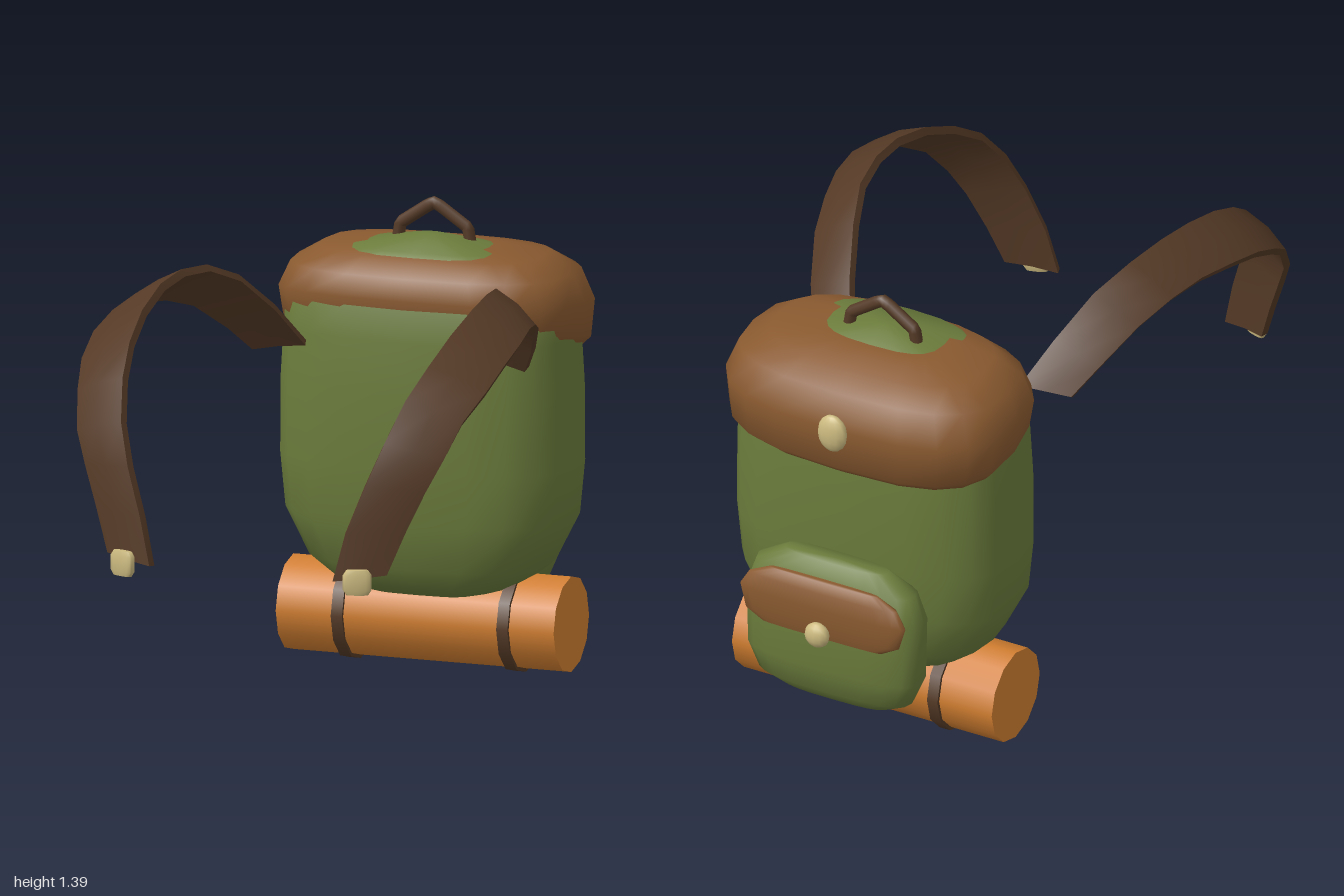
import * as THREE from 'three';
import { toCreasedNormals } from 'three/addons/utils/BufferGeometryUtils.js';

const paint = (color) => new THREE.MeshStandardMaterial({ color });
const green = paint(0x6b7c3c), lidBrown = paint(0x8a5a30), leather = paint(0x553a26);
const orange = paint(0xd17e30), brass = paint(0xcdbb80);

// Skin a list of rings (each turning positively about the direction of travel), closing both ends
function skin(rings, crease = 1) {
  const mid = (r) => {
    const c = r.reduce((s, p) => s.add(p), new THREE.Vector3()).divideScalar(r.length);
    return r.map(() => c);
  };
  const all = [mid(rings[0]), ...rings, mid(rings[rings.length - 1])];
  const n = rings[0].length, index = [];
  for (let j = 0; j < all.length - 1; j++) {
    for (let i = 0; i < n; i++) {
      const a = j * n + i, b = j * n + (i + 1) % n;
      if (j > 0) index.push(a, b, b + n);
      if (j < all.length - 2) index.push(a, b + n, a + n);
    }
    if (j === all.length - 2) continue;
  }
  // the first band fans from its centre, the last one towards its centre
  const fixed = [];
  for (let i = 0; i < n; i++) {
    const k = (i + 1) % n, last = (all.length - 2) * n;
    fixed.push(i, k + n, i + n, last + i, last + k, last + n + i);
  }
  const body = index.filter((_, q) => {
    const t = q - (q % 3);
    const lo = Math.min(index[t], index[t + 1], index[t + 2]);
    const hi = Math.max(index[t], index[t + 1], index[t + 2]);
    return lo >= n && hi < (all.length - 1) * n;
  });
  const geo = new THREE.BufferGeometry().setFromPoints(all.flat());
  geo.setIndex([...body, ...fixed]);
  return toCreasedNormals(geo, crease);
}

// Padded shape from rounded-rectangle levels: [y, halfWidth, halfDepth, centreZ, tilt]
function padded(levels, sides = 20, power = 2.9) {
  const round = (v) => Math.sign(v) * Math.pow(Math.abs(v), 2 / power);
  return skin(levels.map(([y, hx, hz, zc, tilt = 0]) =>
    Array.from({ length: sides }, (_, i) => {
      const a = (i / sides) * Math.PI * 2;
      const dz = hz * round(Math.cos(a));
      return new THREE.Vector3(hx * round(Math.sin(a)), y + tilt * dz, zc + dz);
    })), 1.1);
}

// Shoulder strap edges, from the shoulder end to the lower end
const innerEdge = [[.28, 1.0, -.275], [.34, 1.12, -.18], [.40, 1.23, -.05], [.45, 1.283, .08], [.475, 1.295, .22],
  [.485, 1.28, .36], [.48, 1.235, .52], [.465, 1.17, .66], [.44, 1.09, .78], [.41, .98, .87],
  [.37, .86, .92], [.32, .72, .95], [.285, .58, .965]];
const outerEdge = [[.43, .985, -.235], [.48, 1.06, -.16], [.54, 1.15, -.03], [.58, 1.19, .1], [.61, 1.205, .22],
  [.635, 1.19, .36], [.64, 1.155, .5], [.63, 1.10, .62], [.60, 1.03, .73], [.57, .93, .81],
  [.53, .84, .85], [.48, .72, .885], [.435, .60, .915]];

function strapGeometry(side) {
  const A = innerEdge.map((p) => new THREE.Vector3(...p));
  const B = outerEdge.map((p) => new THREE.Vector3(...p));
  const M = A.map((a, i) => a.clone().lerp(B[i], 0.5));
  const rings = M.map((m, i) => {
    const along = M[Math.min(i + 1, M.length - 1)].clone().sub(M[Math.max(i - 1, 0)]);
    const out = along.cross(B[i].clone().sub(A[i])).normalize();
    const at = (p, d) => p.clone().addScaledVector(out, d);
    const ring = [at(A[i], -.024), at(m, -.018), at(B[i], -.024), at(B[i], 0), at(m, .01), at(A[i], 0)];
    if (side > 0) return ring;
    return ring.map((p) => p.setX(-p.x)).reverse();
  });
  return skin(rings, 0.8);
}

export function createModel() {
  const model = new THREE.Group();
  const add = (name, geometry, material, x = 0, y = 0, z = 0) => {
    const mesh = new THREE.Mesh(geometry, material);
    mesh.name = name;
    mesh.position.set(x, y, z);
    model.add(mesh);
    return mesh;
  };

  // Main bag
  add('bagBody', padded([
    [.23, .20, .13, -.57], [.26, .28, .175, -.57], [.32, .36, .21, -.57], [.46, .432, .238, -.57],
    [.62, .447, .248, -.57], [.85, .445, .25, -.57], [1.0, .437, .242, -.57], [1.1, .43, .23, -.57],
    [1.17, .38, .20, -.565], [1.215, .31, .165, -.555], [1.25, .22, .13, -.545], [1.283, .03, .02, -.56],
  ]), green);

  // Lid, hanging lower at the back
  add('lid', padded([
    [.965, .42, .23, -.60, .2], [1.0, .45, .258, -.605, .2], [1.10, .462, .267, -.602, .08],
    [1.185, .425, .245, -.595], [1.235, .34, .19, -.588], [1.256, .2, .10, -.57],
  ]), lidBrown);

  // Back pocket with its flap
  add('pocket', padded([
    [.18, .17, .035, -.855], [.22, .25, .068, -.855], [.30, .285, .083, -.855],
    [.50, .29, .082, -.855], [.585, .26, .068, -.855], [.638, .17, .035, -.855],
  ]), green);
  add('pocketFlap', padded([
    [.42, .2, .01, -.945], [.45, .255, .02, -.942], [.52, .275, .026, -.939],
    [.57, .245, .022, -.936], [.60, .18, .01, -.932],
  ]), lidBrown);

  // Round fasteners
  const button = (name, y, z, rx, ry, rz) =>
    add(name, new THREE.SphereGeometry(1, 12, 8), brass, 0, y, z).scale.set(rx, ry, rz);
  button('lidButton', 1.075, -.882, .048, .06, .025);
  button('pocketButton', .44, -.973, .04, .04, .025);

  // Carry handle
  const handlePath = new THREE.CurvePath();
  const pts = [[-.112, 1.26], [-.105, 1.30], [-.02, 1.357], [0, 1.367], [.02, 1.357], [.105, 1.30], [.112, 1.26]]
    .map(([x, y]) => new THREE.Vector3(x, y, -.583));
  for (let i = 0; i < pts.length - 1; i++) handlePath.add(new THREE.LineCurve3(pts[i], pts[i + 1]));
  add('carryHandle', new THREE.TubeGeometry(handlePath, 28, .019, 8), leather);

  // Bedroll with two bands
  const roll = (name, radius, length, material, x) =>
    add(name, new THREE.CylinderGeometry(radius, radius, length, 12), material, x, .152, -.567).rotation.z = Math.PI / 2;
  roll('bedroll', .142, .865, orange, 0);
  roll('bedrollBand', .152, .035, leather, -.24);
  roll('bedrollBand', .152, .035, leather, .275);

  // Shoulder straps and their end clips
  for (const side of [1, -1]) {
    const name = side > 0 ? 'left' : 'right';
    add(name + 'ShoulderStrap', strapGeometry(side), leather);
    const clip = add(name + 'StrapClip', padded([
      [-.037, .032, .01, 0], [-.022, .042, .014, 0], [.022, .042, .014, 0], [.037, .032, .01, 0],
    ], 12), brass, side * .365, .585, .972);
    clip.rotation.y = side * .33;
  }
  return model;
}
